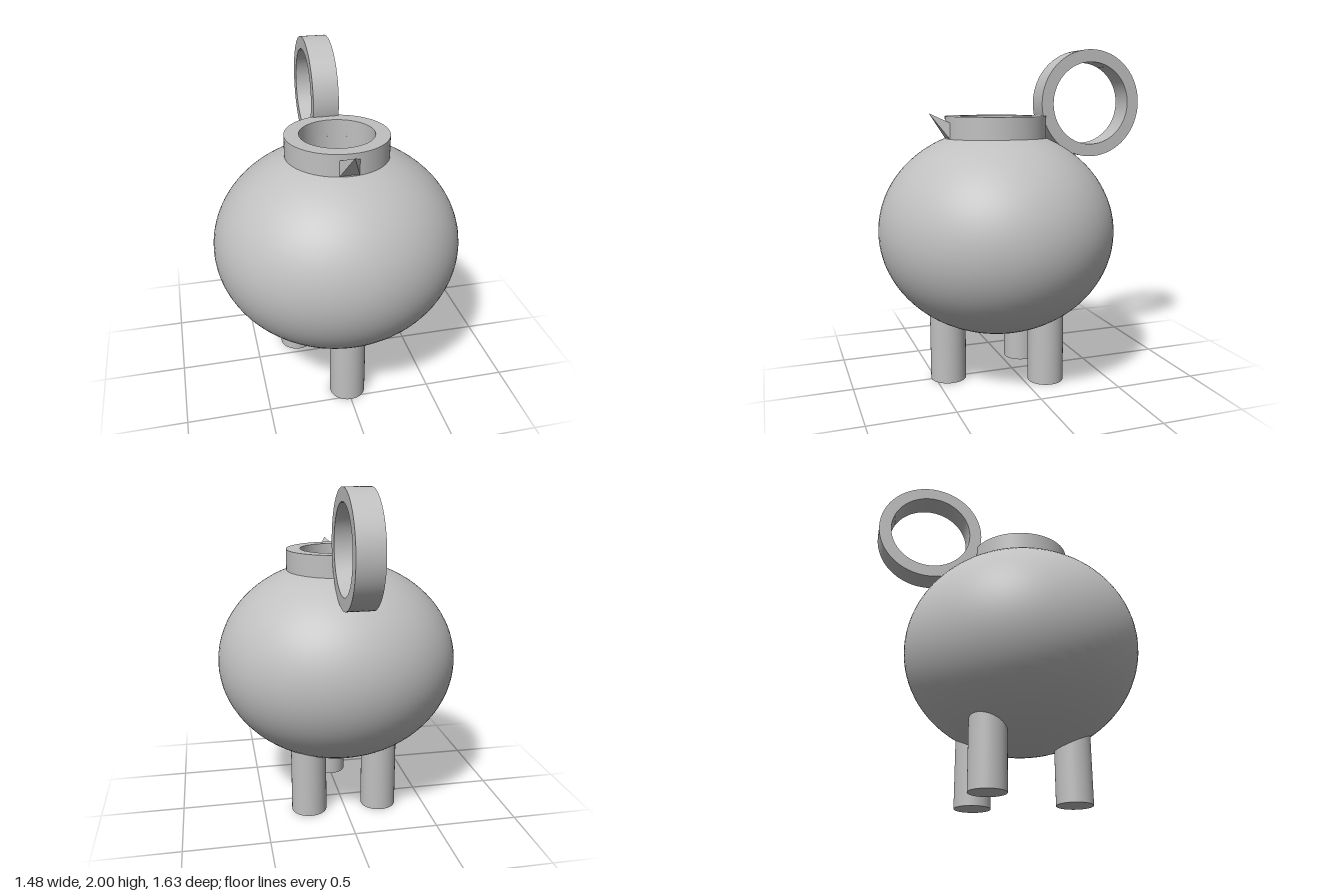
import * as THREE from 'three';
import { toCreasedNormals } from 'three/addons/utils/BufferGeometryUtils.js';

const CENTRE_Z = 0.105;

export function createModel() {
  const model = new THREE.Group();
  const grey = new THREE.MeshStandardMaterial({ color: 0xc0c0c0 });
  grey.name = 'grey clay';

  const add = (name, geometry, x = 0, y = 0, z = 0) => {
    const mesh = new THREE.Mesh(geometry, grey);
    mesh.name = name;
    mesh.position.set(x, y, z);
    model.add(mesh);
    return mesh;
  };
  const turn = (points) =>
    toCreasedNormals(new THREE.LatheGeometry(points, 80), 0.6);

  // closed ring with a rectangular section, around the y axis
  const ring = (inner, outer, bottom, top) => turn([
    [outer, bottom], [outer, top], [inner, top], [inner, bottom], [outer, bottom],
  ].map(([r, y]) => new THREE.Vector2(r, y)));

  // hollow pot: outer wall going up, inner wall going back down
  const wall = (rx, ry, mouth) => {
    const end = Math.acos(mouth / rx);
    return Array.from({ length: 41 }, (_, i) => {
      const a = -Math.PI / 2 + (end + Math.PI / 2) * i / 40;
      return new THREE.Vector2(i ? rx * Math.cos(a) : 0, ry * Math.sin(a));
    });
  };
  const profile = [...wall(0.74, 0.62, 0.225), ...wall(0.65, 0.53, 0.225).reverse()];
  const pot = turn(profile);
  pot.scale(1, 1, 0.71 / 0.74);
  add('pot', pot, 0, 0.91, CENTRE_Z);

  // neck collar
  add('neck', ring(0.218, 0.303, 1.41, 1.602), 0.003, 0, CENTRE_Z);

  // upright ring handle at the back
  const handle = ring(0.25, 0.325, -0.077, 0.077);
  handle.rotateZ(Math.PI / 2);
  add('handle', handle, 0, 1.675, -0.49);

  // pyramid spout, its base buried in the collar
  const tip = [0.003, 1.62, 0.512];
  const base = [[-0.066, 1.44], [0.072, 1.44], [0.072, 1.555], [-0.066, 1.555]]
    .map(([x, y]) => [x, y, 0.38]);
  const corners = [];
  base.forEach((p, i) => corners.push(...p, ...base[(i + 1) % 4], ...tip));
  corners.push(...base[0], ...base[2], ...base[1], ...base[0], ...base[3], ...base[2]);
  const spout = new THREE.BufferGeometry();
  spout.setAttribute('position', new THREE.Float32BufferAttribute(corners, 3));
  spout.computeVertexNormals();
  add('spout', spout);

  // three legs
  const leg = new THREE.CylinderGeometry(0.108, 0.108, 0.42, 48);
  [['frontLeg', 0, 0.417], ['backLeftLeg', 0.221, -0.138], ['backRightLeg', -0.221, -0.138]]
    .forEach(([name, x, z]) => add(name, leg, x, 0.21, z));

  return model;
}
